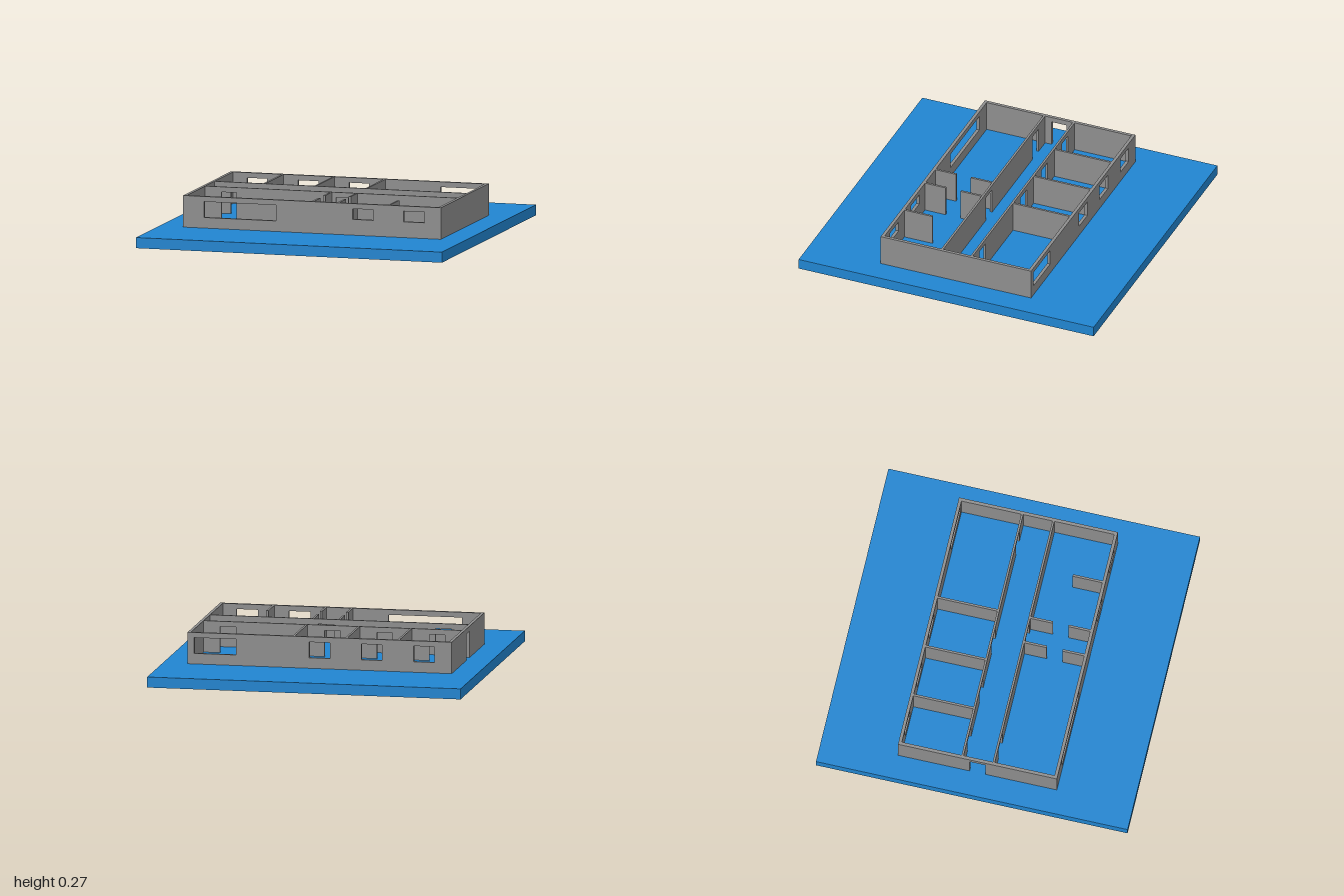
import * as THREE from 'three';

const FLOOR = 0.067, HEIGHT = 0.2;      // slab top, wall height
const OUTER = 0.02, INNER = 0.0135;     // wall thicknesses
const DOOR_TOP = 0.167, DOOR_W = 0.1;   // measured from the slab top

export function createModel() {
  const group = new THREE.Group();
  const blue = new THREE.MeshStandardMaterial({ color: 0x2185d0 });
  blue.name = 'slab blue';
  const gray = new THREE.MeshStandardMaterial({ color: 0x8e8e8e });
  gray.name = 'wall gray';

  // Upright wall from a to b along x (or z), centred on the line "at".
  // doors: centre positions; windows: [centre, width, sill, head]
  function wall(name, axis, at, a, b, thick, doors = [], windows = []) {
    const shape = new THREE.Shape();
    shape.moveTo(a, 0);
    for (const d of doors) {
      const l = d - DOOR_W / 2, r = d + DOOR_W / 2;
      shape.lineTo(l, 0);
      shape.lineTo(l, DOOR_TOP);
      shape.lineTo(r, DOOR_TOP);
      shape.lineTo(r, 0);
    }
    shape.lineTo(b, 0);
    shape.lineTo(b, HEIGHT);
    shape.lineTo(a, HEIGHT);
    shape.closePath();
    for (const [c, w, sill, head] of windows) {
      const hole = new THREE.Path();
      hole.moveTo(c - w / 2, sill);
      hole.lineTo(c - w / 2, head);
      hole.lineTo(c + w / 2, head);
      hole.lineTo(c + w / 2, sill);
      hole.closePath();
      shape.holes.push(hole);
    }
    const geo = new THREE.ExtrudeGeometry(shape, { depth: thick, bevelEnabled: false });
    geo.translate(0, FLOOR, -thick / 2);
    if (axis === 'z') geo.rotateY(-Math.PI / 2);
    geo.translate(axis === 'z' ? at : 0, 0, axis === 'z' ? 0 : at);
    const mesh = new THREE.Mesh(geo, gray);
    mesh.name = name;
    group.add(mesh);
  }

  // Ground slab
  const slab = new THREE.Mesh(new THREE.BoxGeometry(2, FLOOR, 2), blue);
  slab.name = 'groundSlab';
  slab.position.y = FLOOR / 2;
  group.add(slab);

  // Outer walls
  const X = 0.833, Z = 0.5, h = OUTER / 2, i = INNER / 2;
  const SILL = 0.067, HEAD = 0.167;
  wall('frontWall', 'x', Z, -X - h, X + h, OUTER, [], [
    [-0.47, 0.47, SILL, HEAD], [0.333, 0.137, 0.1, HEAD], [0.667, 0.137, 0.1, HEAD]]);
  wall('backWall', 'x', -Z, -X - h, X + h, OUTER, [], [
    ...[-0.667, -0.333, 0].map((c) => [c, 0.133, SILL, HEAD]), [0.667, 0.267, SILL, HEAD]]);
  wall('entranceSideWall', 'z', -X, -Z + h, Z - h, OUTER, [0]);
  wall('solidSideWall', 'z', X, -Z + h, Z - h, OUTER);

  // Corridor walls
  wall('frontCorridorWall', 'x', 0.1, -X + h, X - h, INNER, [-0.667, 0.083]);
  wall('backCorridorWall', 'x', -0.1, -X + h, X - h, INNER, [-0.667, -0.333, 0, 0.667]);

  // Back room partitions
  for (const x of [-0.5, -0.167, 0.167])
    wall('backPartition', 'z', x, -Z + h, -0.1 - i, INNER);

  // Front room partitions with full-height gaps
  for (const x of [0, 0.167]) {
    wall('hallPartition', 'z', x, 0.1 + i, 0.25, INNER);
    wall('hallPartition', 'z', x, 0.35, Z - h, INNER);
  }
  wall('frontStubPartition', 'z', 0.5, 0.3, Z - h, INNER);

  return group;
}
